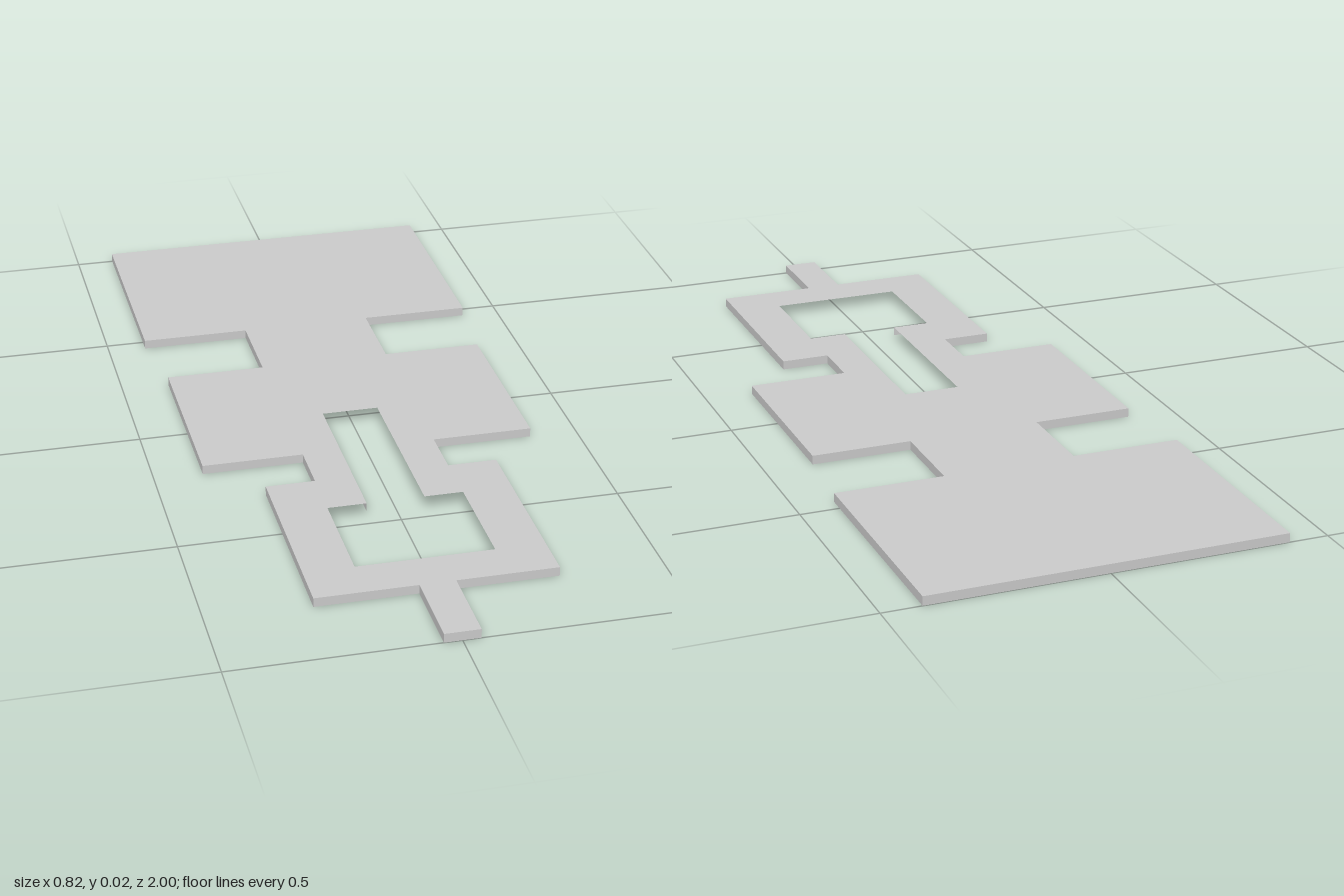
import * as THREE from 'three';

const THICKNESS = 0.021;

// Closed mirrored outline from right-hand [x, z] points, listed back to front
function mirrored(points, Type) {
  const right = points.map(([x, z]) => new THREE.Vector2(x, -z));
  const left = points.map(([x, z]) => new THREE.Vector2(-x, -z)).reverse();
  return new Type([...right, ...left]);
}

export function createModel() {
  const group = new THREE.Group();
  group.name = 'steppedPlate';

  // Outline: wide back panel, neck, middle panel, neck, front frame, tab
  const outline = mirrored([
    [0.41, -1], [0.41, -0.465],
    [0.155, -0.465], [0.155, -0.255],
    [0.388, -0.255], [0.388, 0.197],
    [0.155, 0.197], [0.155, 0.323],
    [0.268, 0.323], [0.268, 0.806],
    [0.04, 0.806], [0.04, 1],
  ], THREE.Shape);

  // Keyhole-like window: narrow slot opening into a wider rectangle
  outline.holes.push(mirrored([
    [0.066, 0.014], [0.066, 0.448],
    [0.155, 0.448], [0.155, 0.703],
  ], THREE.Path));

  // Lay the extruded plate flat on the ground
  const geometry = new THREE.ExtrudeGeometry(outline, { depth: THICKNESS, bevelEnabled: false });
  geometry.rotateX(-Math.PI / 2);

  const plate = new THREE.Mesh(geometry, new THREE.MeshStandardMaterial({ color: 0xcccccc }));
  plate.name = 'plate';
  group.add(plate);
  return group;
}
